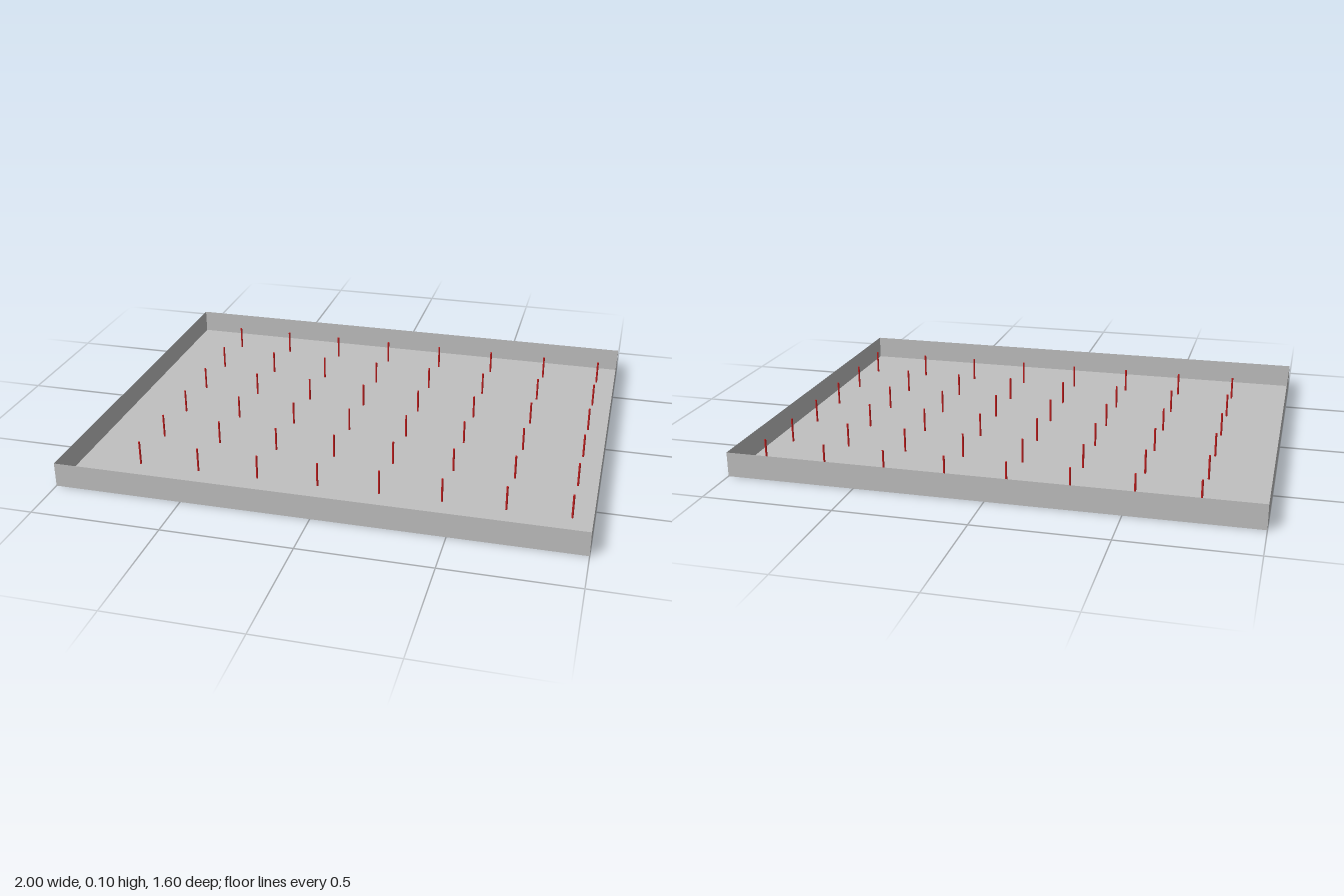
import * as THREE from 'three';

const WIDTH = 2, DEPTH = 1.6, HEIGHT = 0.096, PITCH = 0.24;

export function createModel() {
  const model = new THREE.Group();
  model.name = 'pinTray';

  const grey = new THREE.MeshStandardMaterial({ color: 0xc0c0c0, side: THREE.DoubleSide });
  grey.name = 'tray grey';
  const red = new THREE.MeshStandardMaterial({ color: 0xc41e1e });
  red.name = 'pin red';

  // Sheet-thin floor
  const floor = new THREE.Mesh(new THREE.PlaneGeometry(WIDTH, DEPTH), grey);
  floor.name = 'floor';
  floor.rotation.x = -Math.PI / 2;
  model.add(floor);

  // Four sheet-thin walls, each facing outwards
  ['frontWall', 'leftWall', 'backWall', 'rightWall'].forEach((name, i) => {
    const alongX = i % 2 === 0;
    const angle = i * Math.PI / 2;
    const wall = new THREE.Mesh(new THREE.PlaneGeometry(alongX ? WIDTH : DEPTH, HEIGHT), grey);
    wall.name = name;
    wall.rotation.y = angle;
    wall.position.set(Math.sin(angle) * WIDTH / 2, HEIGHT / 2, Math.cos(angle) * DEPTH / 2);
    model.add(wall);
  });

  // Grid of slender pins standing on the floor
  const pins = new THREE.Group();
  pins.name = 'pins';
  const pinGeometry = new THREE.CylinderGeometry(0.004, 0.004, HEIGHT, 8);
  for (let row = 0; row < 6; row++) {
    for (let col = 0; col < 8; col++) {
      const pin = new THREE.Mesh(pinGeometry, red);
      pin.name = 'pin';
      pin.position.set(-0.76 + col * PITCH, HEIGHT / 2, -0.64 + row * PITCH);
      pins.add(pin);
    }
  }
  model.add(pins);

  return model;
}
